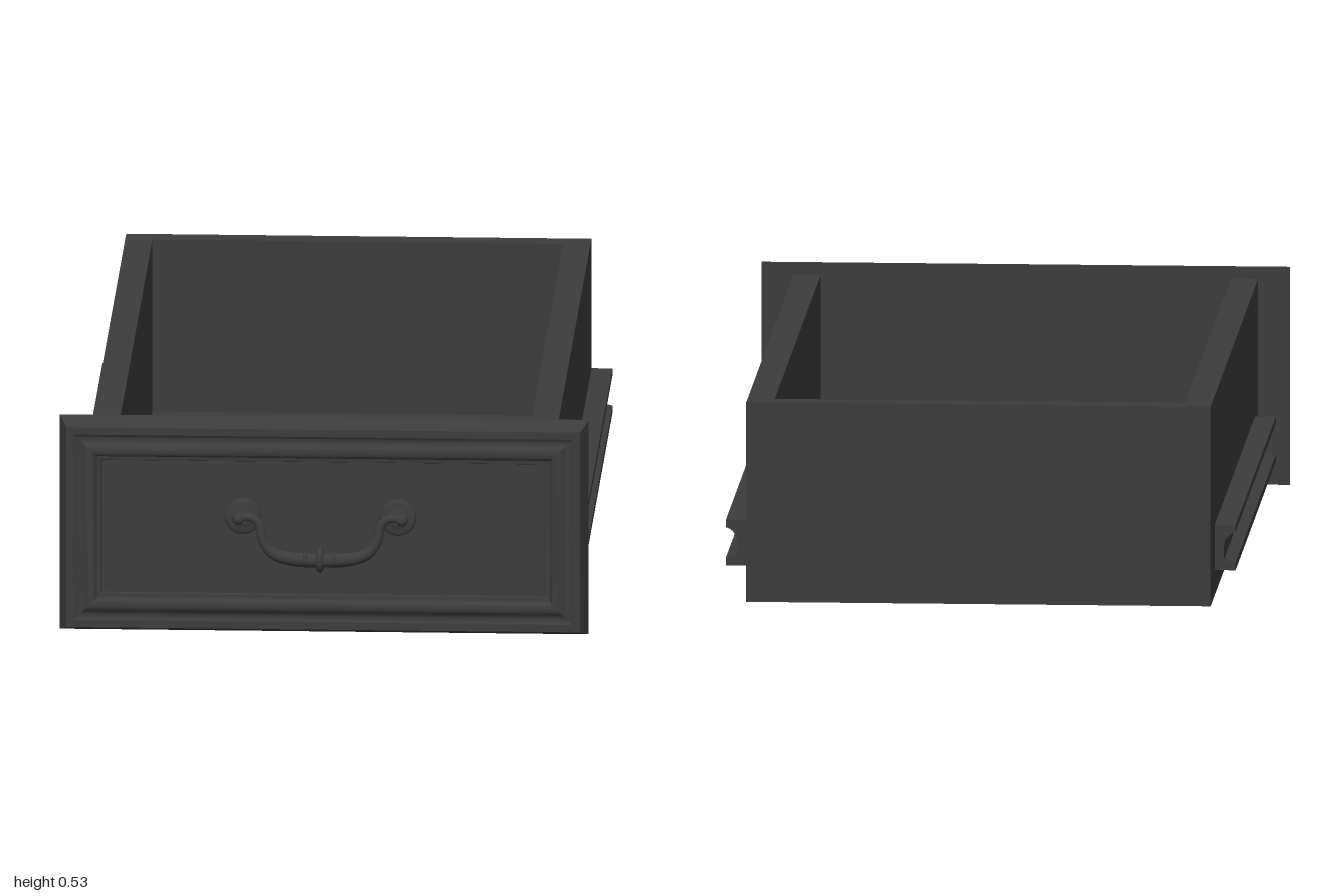
import * as THREE from 'three';
import { toCreasedNormals } from 'three/addons/utils/BufferGeometryUtils.js';

const material = new THREE.MeshStandardMaterial({ color: 0x3c3c3c });

function add(parent, name, geometry, x = 0, y = 0, z = 0) {
  const mesh = new THREE.Mesh(geometry, material);
  mesh.name = name;
  mesh.position.set(x, y, z);
  parent.add(mesh);
  return mesh;
}

// Sweeps a profile of [inset, z] round a rectangle with mitred corners
function mitredPanel(w, h, profile) {
  const ring = ([d, z]) => {
    const x = w / 2 - d, y = h / 2 - d;
    return [[-x, -y, z], [x, -y, z], [x, y, z], [-x, y, z]];
  };
  const pos = [];
  for (let i = 0; i < profile.length - 1; i++) {
    const a = ring(profile[i]), b = ring(profile[i + 1]);
    for (let k = 0; k < 4; k++) {
      const n = (k + 1) % 4;
      pos.push(...a[k], ...a[n], ...b[n], ...a[k], ...b[n], ...b[k]);
    }
  }
  const g = new THREE.BufferGeometry();
  g.setAttribute('position', new THREE.Float32BufferAttribute(pos, 3));
  return toCreasedNormals(g, 0.6);
}

// Round bar along a curve, with a radius that varies along its length
function taperedTube(curve, steps, sides, radiusAt) {
  const g = new THREE.TubeGeometry(curve, steps, 1, sides);
  const p = g.attributes.position, c = new THREE.Vector3(), v = new THREE.Vector3();
  for (let i = 0; i < p.count; i++) {
    const t = Math.floor(i / (sides + 1)) / steps;
    curve.getPointAt(t, c);
    v.fromBufferAttribute(p, i).sub(c).multiplyScalar(radiusAt(t)).add(c);
    p.setXYZ(i, v.x, v.y, v.z);
  }
  g.computeVertexNormals();
  return g;
}

function createBox() {
  const box = new THREE.Group();
  box.name = 'drawerBox';
  const front = 0.905, wall = 0.065, back = 0.055, h = 0.485, y = 0.015 + h / 2;
  for (const s of [-1, 1]) {
    add(box, s > 0 ? 'leftWall' : 'rightWall',
      new THREE.BoxGeometry(wall, h, front + 1), s * (0.558 - wall / 2), y, (front - 1) / 2);
  }
  add(box, 'backWall', new THREE.BoxGeometry(1.116 - 2 * wall, h, back), 0, y, -1 + back / 2);
  add(box, 'floor', new THREE.BoxGeometry(1.116 - 2 * wall, 0.06, front + 1 - back),
    0, 0.045, (front - 1 + back) / 2);
  return box;
}

// Runner with a coved groove on its outer side
function createRunner(side) {
  const s = new THREE.Shape();
  s.moveTo(0, 0.09);
  s.lineTo(0.05, 0.09);
  s.lineTo(0.05, 0.108);
  s.lineTo(0.022, 0.115);
  s.lineTo(0.022, 0.145);
  s.quadraticCurveTo(0.024, 0.175, 0.05, 0.183);
  s.lineTo(0.05, 0.2);
  s.lineTo(0, 0.2);
  s.closePath();
  const g = new THREE.ExtrudeGeometry(s, { depth: 1.61, bevelEnabled: false, curveSegments: 8 });
  const group = new THREE.Group();
  group.name = side > 0 ? 'leftRunner' : 'rightRunner';
  const mesh = add(group, 'runnerRail', toCreasedNormals(g, 0.6), 0.562, 0, -0.805);
  // Turning about y puts the groove on the other side
  if (side < 0) mesh.rotation.y = Math.PI, mesh.position.set(-0.563, 0, 0.805);
  group.position.z = -0.115;
  return group;
}

function createHandle() {
  const handle = new THREE.Group();
  handle.name = 'handle';
  handle.position.set(-0.007, 0, 0);

  // Rosettes with a rim and small knobs
  const rosette = new THREE.LatheGeometry([
    [0.044, 0], [0.044, 0.009], [0.038, 0.015], [0.032, 0.013],
    [0.022, 0.017], [0.012, 0.02], [0, 0.021],
  ].map(p => new THREE.Vector2(...p)), 32).rotateX(Math.PI / 2);
  for (const s of [-1, 1]) {
    const end = s > 0 ? 'left' : 'right';
    add(handle, end + 'Rosette', rosette, s * 0.186, 0.294, 0.94);
    const post = new THREE.CylinderGeometry(0.012, 0.015, 0.03, 16).rotateX(Math.PI / 2);
    add(handle, end + 'Post', post, s * 0.186, 0.294, 0.962);
    add(handle, end + 'Knob', new THREE.SphereGeometry(0.015, 16, 12), s * 0.196, 0.294, 0.972);
    const collar = new THREE.TorusGeometry(0.015, 0.005, 8, 20).rotateY(Math.PI / 2);
    add(handle, end + 'BailCollar', collar, s * 0.035, 0.196, 0.976);
  }

  // Hanging bail, thicker towards the middle
  const half = [[0.19, 0.297, 0.97], [0.162, 0.296, 0.972], [0.146, 0.28, 0.973],
    [0.138, 0.245, 0.974], [0.115, 0.212, 0.975], [0.07, 0.197, 0.976]];
  const points = [
    ...half.map(([x, y, z]) => new THREE.Vector3(-x, y, z)),
    new THREE.Vector3(0, 0.195, 0.976),
    ...half.reverse().map(p => new THREE.Vector3(...p)),
  ];
  add(handle, 'bail', taperedTube(new THREE.CatmullRomCurve3(points), 72, 14,
    t => 0.01 + 0.008 * Math.sin(Math.PI * t) ** 2));

  // Centre bead
  const bead = add(handle, 'centreBead', new THREE.SphereGeometry(1, 20, 14), 0, 0.195, 0.974);
  bead.scale.set(0.013, 0.032, 0.026);
  return handle;
}

export function createModel() {
  const model = new THREE.Group();
  model.name = 'drawer';

  // Moulded front with a recessed field
  const front = mitredPanel(1.27, 0.53, [
    [0.265, 0.902], [0, 0.902], [0.002, 0.909], [0.018, 0.957], [0.036, 0.957],
    [0.042, 0.952], [0.05, 0.951], [0.058, 0.955], [0.065, 0.961], [0.074, 0.964],
    [0.083, 0.962], [0.089, 0.956], [0.091, 0.948], [0.1, 0.946], [0.102, 0.94], [0.265, 0.94],
  ]);
  add(model, 'frontPanel', front, 0, 0.265, 0);

  model.add(createBox(), createRunner(1), createRunner(-1), createHandle());
  return model;
}
